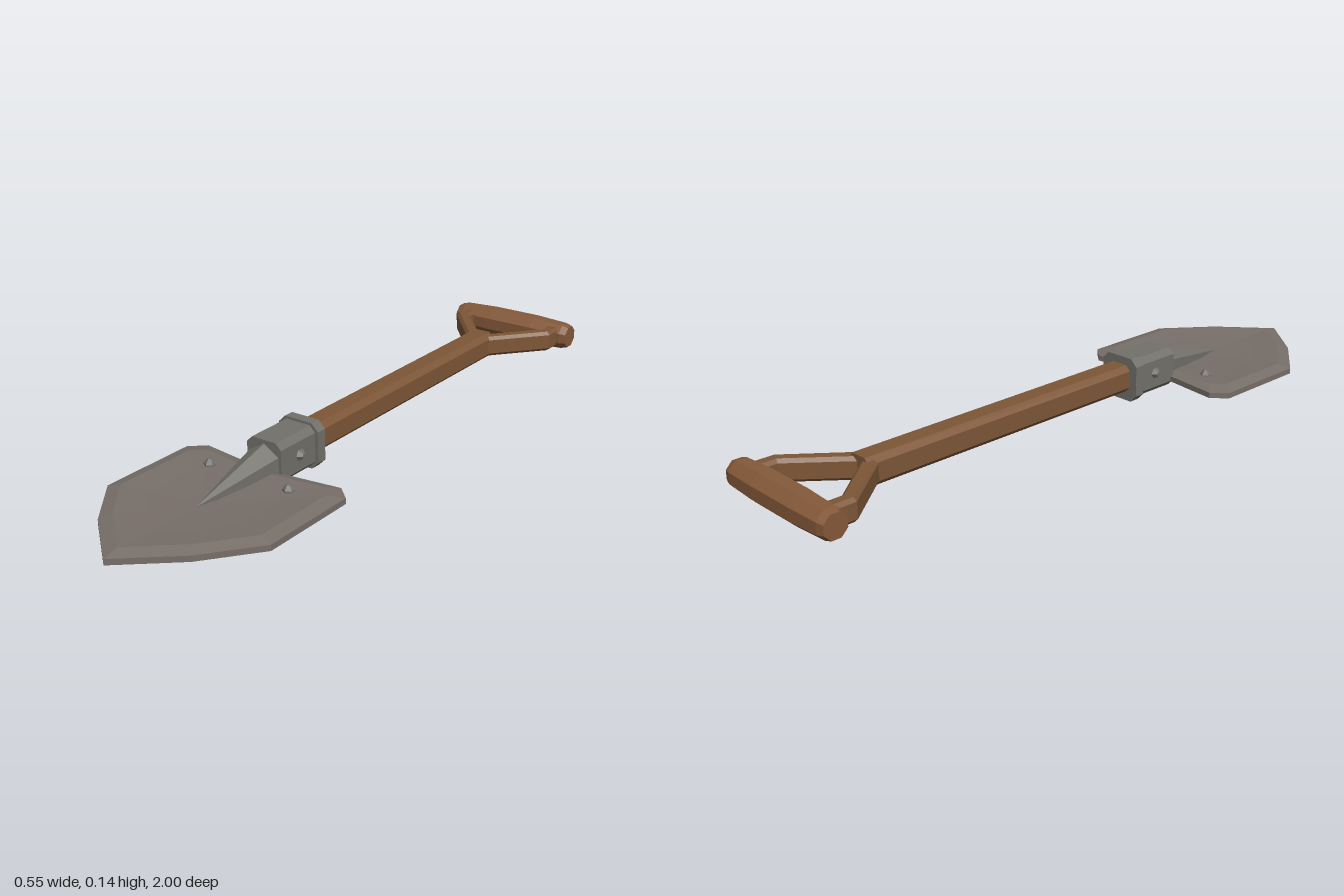
import * as THREE from 'three';

const V = (x, y, z) => new THREE.Vector3(x, y, z);
const UP = V(0, 1, 0);

// Octagon (rectangle with cut corners), counter-clockwise
function octagon(w, h, c) {
  return [[w, c - h], [w, h - c], [w - c, h], [c - w, h], [-w, h - c], [-w, c - h], [c - w, -h], [w - c, -h]];
}

// Places a 2D section at a point, facing along dir
function ring(center, dir, pts) {
  const d = dir.clone().normalize();
  const u = V(0, 0, 0).crossVectors(UP, d);
  return pts.map(([a, b]) => center.clone().addScaledVector(u, a).addScaledVector(UP, b));
}

// Joins rings into a closed flat-faced solid
function loft(rings) {
  const pos = [];
  const tri = (...p) => p.forEach((v) => pos.push(v.x, v.y, v.z));
  const n = rings[0].length;
  for (let i = 0; i < rings.length - 1; i++) {
    const A = rings[i], B = rings[i + 1];
    for (let j = 0; j < n; j++) {
      const k = (j + 1) % n;
      tri(A[j], A[k], B[k]);
      tri(A[j], B[k], B[j]);
    }
  }
  const cap = (r, flip) => {
    const c = r.reduce((s, p) => s.add(p), V(0, 0, 0)).divideScalar(n);
    r.forEach((p, j) => {
      const q = r[(j + 1) % n];
      if (flip) tri(c, q, p); else tri(c, p, q);
    });
  };
  cap(rings[0], true);
  cap(rings[rings.length - 1], false);
  const g = new THREE.BufferGeometry();
  g.setAttribute('position', new THREE.Float32BufferAttribute(pos, 3));
  g.computeVertexNormals();
  return g;
}

export function createModel() {
  const group = new THREE.Group();
  const material = (name, color) => {
    const m = new THREE.MeshStandardMaterial({ color, flatShading: true });
    m.name = name;
    return m;
  };
  const steel = material('bladeSteel', 0x776e68);
  const iron = material('socketIron', 0x72706a);
  const wood = material('shaftWood', 0x7d5637);
  const gripWood = material('gripWood', 0x85593a);

  const add = (name, geometry, mat) => {
    const m = new THREE.Mesh(geometry, mat);
    m.name = name;
    group.add(m);
    return m;
  };
  const AXIS = 0.073;
  const FWD = V(0, 0, 1);

  // Straight bar along z
  const bar = (name, z0, z1, y, section, mat) =>
    add(name, loft([z0, z1].map((z) => ring(V(0, y, z), FWD, section))), mat);

  // Blade: shield outline shrunk toward its middle, dished from underside to top
  const half = [[0.155, 0.865], [0.274, 0.715], [0.274, 0.412], [0.23, 0.372]];
  const outline = [[0, 0.997], ...half, [0, 0.402], ...half.map(([x, z]) => [-x, z]).reverse()];
  const midZ = 0.65;
  const layers = [
    [0.17, 0.003], [0.55, 0.008], [0.86, 0.015], [1, 0.026],
    [1, 0.043], [0.86, 0.053], [0.55, 0.046], [0.17, 0.042],
  ];
  add('blade', loft(layers.map(([s, y]) => outline.map(([x, z]) => V(x * s, y, midZ + (z - midZ) * s)))), steel);

  // Socket, collar and the spike running onto the blade
  bar('socket', 0.24, 0.405, 0.071, octagon(0.058, 0.061, 0.018), iron);
  bar('collar', 0.225, 0.257, 0.071, octagon(0.068, 0.068, 0.022), iron);
  const hexagon = (r) => Array.from({ length: 6 }, (_, i) => {
    const a = Math.PI / 2 + i * Math.PI / 3;
    return [r * Math.cos(a), r * Math.sin(a)];
  });
  add('spike', loft([
    ring(V(0, 0.064, 0.4), FWD, hexagon(0.058)),
    ring(V(0, 0.045, 0.675), FWD, hexagon(0.001)),
  ]), iron);

  // Rivets on the blade and on the socket sides
  const rivetShape = new THREE.CylinderGeometry(0.008, 0.018, 0.014, 6);
  const stem = new THREE.CylinderGeometry(0.018, 0.018, 0.012, 6);
  for (const s of [1, -1]) {
    add('bladeRivet', rivetShape, iron).position.set(s * 0.135, 0.059, 0.47);
    add('bladeRivetBase', stem, iron).position.set(s * 0.135, 0.046, 0.47);
    const side = add('socketRivet', rivetShape, iron);
    side.position.set(s * 0.065, AXIS, 0.323);
    side.rotation.z = -s * Math.PI / 2;
  }

  // Wooden shaft
  bar('shaft', -0.735, 0.3, AXIS, octagon(0.042, 0.042, 0.016), wood);

  // Forked arms, bent to meet the grip
  for (const s of [1, -1]) {
    const path = [[0.008, -0.7], [0.158, -0.878], [0.158, -0.945]].map(([x, z]) => V(s * x, AXIS, z));
    const d0 = path[1].clone().sub(path[0]).normalize();
    const d1 = path[2].clone().sub(path[1]).normalize();
    const dirs = [d0, d0.clone().add(d1), d1];
    add('forkArm', loft(path.map((p, i) => ring(p, dirs[i], octagon(0.023, 0.033, 0.01)))), wood);
  }

  // Cross grip, swelling toward the middle with bevelled ends
  const gripStations = [[-0.212, 0.034], [-0.19, 0.04], [-0.08, 0.045], [0.08, 0.045], [0.19, 0.04], [0.212, 0.034]];
  add('grip', loft(gripStations.map(([x, r]) =>
    ring(V(x, AXIS, -0.955), V(1, 0, 0), octagon(r, r, r * 0.586)))), gripWood);

  return group;
}
